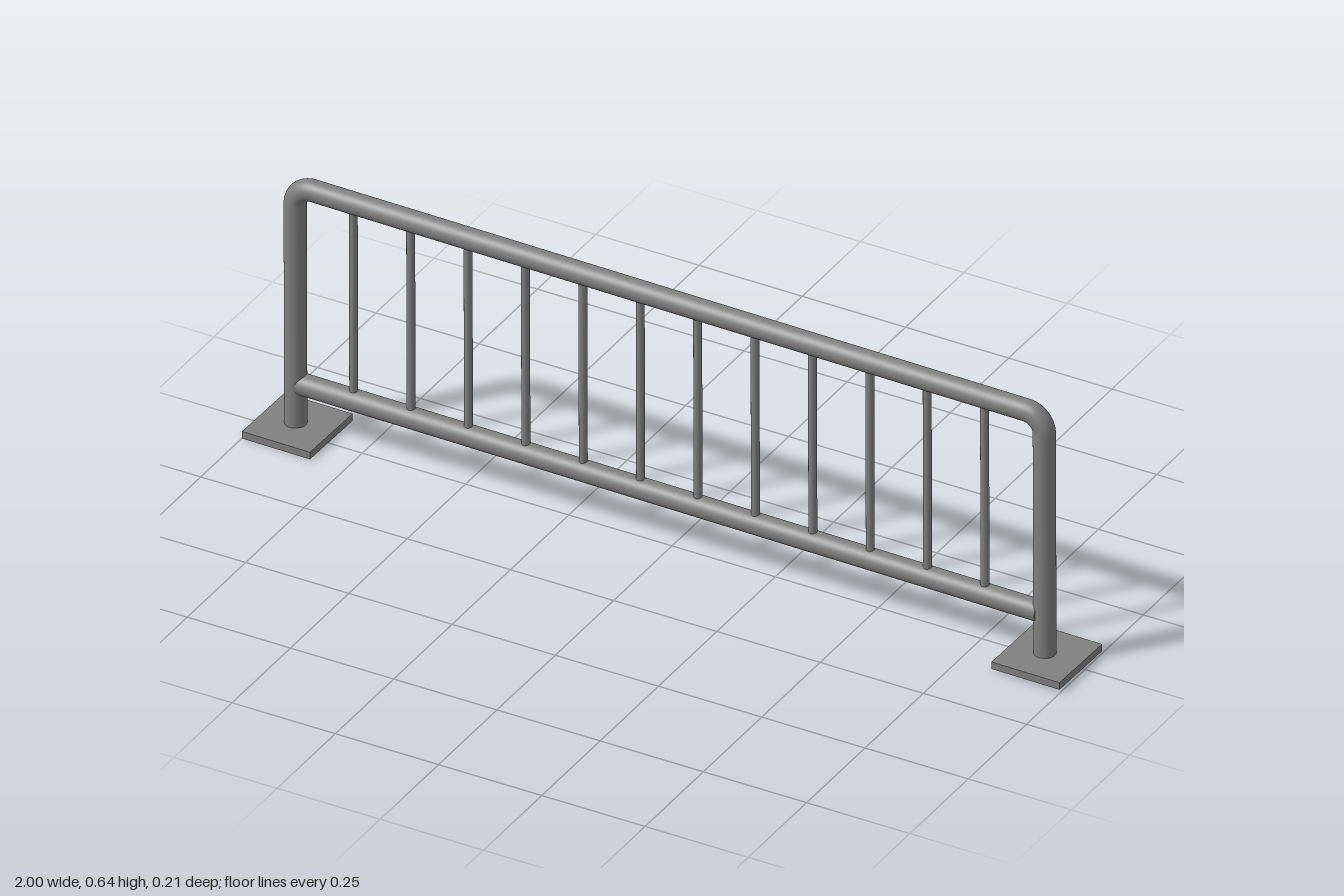
import * as THREE from 'three';

export function createModel() {
  const steel = new THREE.MeshStandardMaterial({ color: 0x808080 });
  steel.name = 'grey steel';

  const model = new THREE.Group();
  model.name = 'barrier';
  const barrier = new THREE.Group();
  barrier.name = 'barrierFrame';
  model.add(barrier);

  const add = (name, geometry, x, y, z = 0) => {
    const mesh = new THREE.Mesh(geometry, steel);
    mesh.name = name;
    mesh.position.set(x, y, z);
    barrier.add(mesh);
    return mesh;
  };

  const pipe = 0.0245;     // pipe radius
  const bend = 0.044;      // centreline radius of the corner bends
  const mid = -0.004;      // frame sits slightly off the plates' middle
  const half = 0.915;      // half distance between legs
  const railY = 0.609;
  const lowY = 0.12;
  const legTop = railY - bend;

  // Vertical pipe between two heights
  const post = (name, x, y0, y1, r, sides) =>
    add(name, new THREE.CylinderGeometry(r, r, y1 - y0, sides), x, (y0 + y1) / 2);

  // Horizontal pipe along x
  const rail = (name, length, y) => {
    add(name, new THREE.CylinderGeometry(pipe, pipe, length, 32), mid, y).rotation.z = Math.PI / 2;
  };

  // Base plates, legs and corner bends, mirrored
  for (const s of [1, -1]) {
    const side = s > 0 ? 'left' : 'right';
    add(side + 'BasePlate', new THREE.BoxGeometry(0.166, 0.0175, 0.178), s * 0.9155, 0.0117);
    const x = mid + s * half;
    post(side + 'Leg', x, 0.008, legTop, pipe, 32);
    const elbow = add(side + 'Bend', new THREE.TorusGeometry(bend, pipe, 32, 16, Math.PI / 2),
      x - s * bend, legTop);
    if (s < 0) elbow.rotation.z = Math.PI / 2;
  }

  // Top rail between the bends, lower rail ending inside the legs
  rail('topRail', 2 * (half - bend), railY);
  rail('lowerRail', 1.806, lowY);

  // Upright bars
  const bars = 12;
  for (let i = 0; i < bars; i++) {
    const x = -0.006 + (i - (bars - 1) / 2) * 0.1402;
    post('bar' + (i + 1), x, lowY, railY, 0.0095, 16);
  }

  // Slight turn and lean of the whole barrier
  barrier.rotation.set(0, -0.015, 0.0027);
  return model;
}
